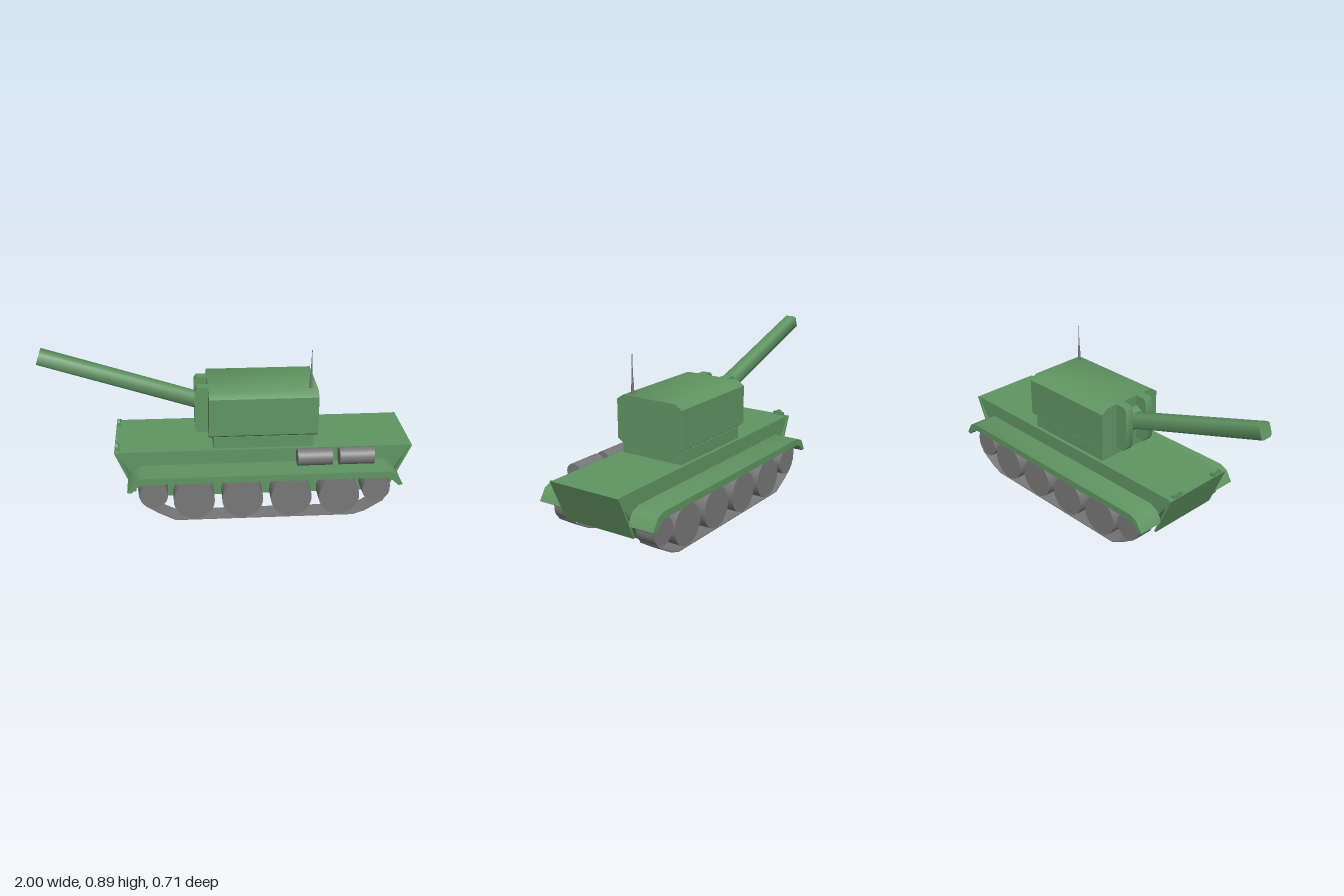
import * as THREE from 'three';
import { toCreasedNormals } from 'three/addons/utils/BufferGeometryUtils.js';

const green = new THREE.MeshStandardMaterial({ color: 0x609462 });
const grey = new THREE.MeshStandardMaterial({ color: 0x777777 });

const shapeOf = (pts) => new THREE.Shape(pts.map(([x, y]) => new THREE.Vector2(x, y)));

// Extrudes a shape by depth, centred on z = 0
function prism(shape, depth, crease = 0.3) {
  const g = new THREE.ExtrudeGeometry(shape, { depth, bevelEnabled: false, curveSegments: 6 });
  g.translate(0, 0, -depth / 2);
  return toCreasedNormals(g, crease);
}

// Rectangle with cut corners, centred on the origin
function cutRect(w, h, cx, cy = cx) {
  const a = w / 2, b = h / 2;
  return shapeOf([[-a + cx, -b], [a - cx, -b], [a, -b + cy], [a, b - cy],
    [a - cx, b], [-a + cx, b], [-a, b - cy], [-a, -b + cy]]);
}

export function createModel() {
  const model = new THREE.Group();
  const add = (name, geo, mat, x = 0, y = 0, z = 0) => {
    const m = new THREE.Mesh(geo, mat);
    m.name = name;
    m.position.set(x, y, z);
    model.add(m);
    return m;
  };

  // Hull: flat deck, sloping ends
  add('hull', prism(shapeOf([[-0.6, 0.36], [-0.42, 0.09], [0.82, 0.09], [0.995, 0.36]]), 0.41), green);

  // Thin sloping plates hung from both ends of the deck
  add('nosePlate', prism(shapeOf([[-0.605, 0.36], [-0.505, 0.125], [-0.495, 0.129], [-0.59, 0.36]]), 0.424), green);
  add('tailPlate', prism(shapeOf([[1, 0.36], [0.985, 0.36], [0.885, 0.129], [0.895, 0.125]]), 0.424), green);

  // Running gear, mirrored on both sides
  const fender = prism(shapeOf([[-0.538, 0.2], [-0.515, 0.195], [-0.485, 0.228], [-0.45, 0.243],
    [0.835, 0.243], [0.87, 0.228], [0.905, 0.195], [0.928, 0.2], [0.89, 0.262], [0.845, 0.28],
    [-0.455, 0.28], [-0.5, 0.262]]), 0.15, 0.9);

  const trackPts = [[-0.47, 0.228], [-0.482, 0.2], [-0.478, 0.147], [-0.44, 0.09], [-0.38, 0.05],
    [-0.286, 0], [0.676, 0], [0.74, 0.022], [0.837, 0.083], [0.872, 0.17], [0.85, 0.228]];
  const trackShape = shapeOf(trackPts);
  trackShape.holes.push(new THREE.Path(trackPts.map(([x, y]) =>
    new THREE.Vector2(0.195 + (x - 0.195) * 0.993, 0.116 + (y - 0.116) * 0.96))));
  const track = prism(trackShape, 0.11, 0.5);

  const wheel = (r) => new THREE.CylinderGeometry(r, r, 0.108, 32).rotateX(Math.PI / 2);
  const roadWheel = wheel(0.11), endWheel = wheel(0.075);

  for (const s of [1, -1]) {
    const side = s > 0 ? 'Front' : 'Back';
    add('fender' + side, fender, green, 0, 0, s * 0.278);
    add('track' + side, track, grey, 0, 0, s * 0.26);
    for (const x of [-0.185, 0.075, 0.337, 0.596]) add('roadWheel' + side, roadWheel, grey, x, 0.117, s * 0.26);
    for (const x of [-0.4, 0.795]) add('endWheel' + side, endWheel, grey, x, 0.154, s * 0.26);

    // Headlamps on the nose with a small bracket
    add('headlamp', new THREE.CylinderGeometry(0.018, 0.018, 0.016, 14).rotateZ(Math.PI / 2), green, -0.592, 0.372, s * 0.15);
    for (const d of [-0.027, 0.027]) {
      add('lampBracket', new THREE.BoxGeometry(0.024, 0.02, 0.008), green, -0.588, 0.368, s * 0.15 + d);
    }
    // Gun cheeks either side of the barrel
    const cheek = prism(cutRect(0.09, 0.26, 0.015, 0.022), 0.052, 0.9);
    add('gunCheek', cheek, green, -0.124, 0.55, s * 0.074);
  }

  // Turret on its ring
  add('turretRing', new THREE.BoxGeometry(0.54, 0.08, 0.37), green, 0.195, 0.385, 0);
  const turret = prism(cutRect(0.408, 0.264, 0.04, 0.027), 0.582, 0.9).rotateY(Math.PI / 2);
  add('turret', turret, green, 0.193, 0.548, 0);

  // Gun: pivot drum and raised barrel with cut corners
  add('gunPivot', new THREE.CylinderGeometry(0.07, 0.07, 0.1, 20).rotateX(Math.PI / 2), green, -0.085, 0.555, 0);
  const from = new THREE.Vector2(-0.09, 0.549), to = new THREE.Vector2(-0.986, 0.842);
  const dir = to.clone().sub(from);
  const barrel = add('barrel', prism(cutRect(0.078, 0.078, 0.012), dir.length(), 0.9).rotateY(Math.PI / 2),
    green, (from.x + to.x) / 2, (from.y + to.y) / 2, 0);
  barrel.rotation.z = Math.atan2(dir.y, dir.x);

  // Stepped aerial
  const aerial = [[0.009, 0.68], [0.005, 0.77], [0.004, 0.77], [0.003, 0.82], [0.002, 0.82], [0.002, 0.89], [0, 0.89]];
  add('aerial', new THREE.LatheGeometry(aerial.map(([r, y]) => new THREE.Vector2(r, y)), 12), grey, 0.447, 0, 0.13);

  // Two drums along one side of the deck
  for (const x of [0.463, 0.688]) {
    add('fuelDrum', new THREE.CylinderGeometry(0.046, 0.046, 0.187, 28).rotateZ(Math.PI / 2), grey, x, 0.329, 0.251);
  }

  return model;
}
